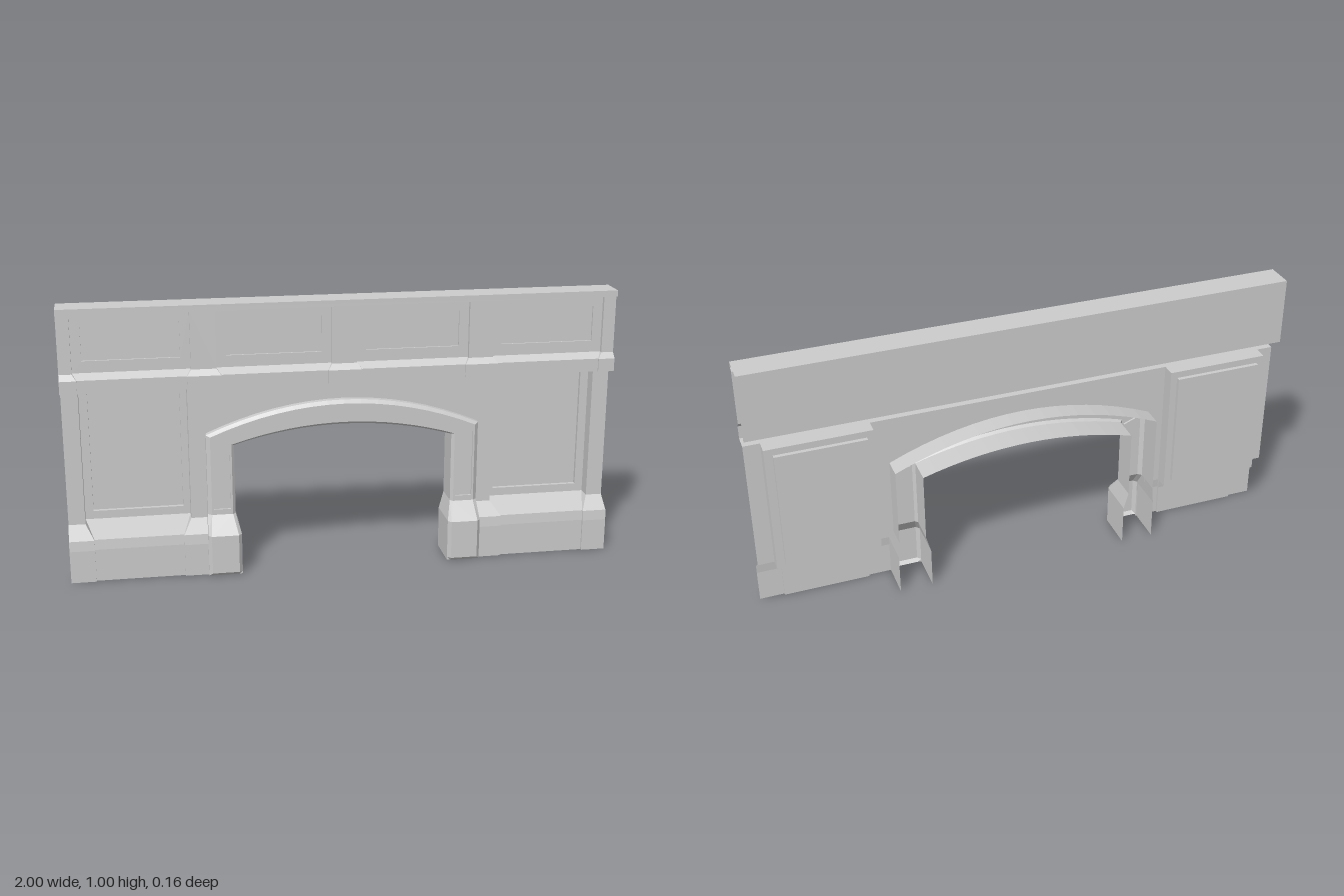
import * as THREE from 'three';

const material = new THREE.MeshStandardMaterial({
  color: 0xcccccc, flatShading: true, side: THREE.DoubleSide,
});

// Sheet through rows of [x, y, z] points (top to bottom, left to right).
function sheet(name, rows, side = 1, skip = () => false) {
  const pos = [];
  for (let i = 0; i < rows.length - 1; i++) {
    for (let j = 0; j < rows[i].length - 1; j++) {
      if (skip(i, j)) continue;
      const a = rows[i][j], b = rows[i][j + 1], c = rows[i + 1][j + 1], d = rows[i + 1][j];
      const tris = [a, d, c, a, c, b];
      if (side < 0) tris.reverse();
      for (const [x, y, z] of tris) pos.push(x * side, y, z);
    }
  }
  const geometry = new THREE.BufferGeometry();
  geometry.setAttribute('position', new THREE.Float32BufferAttribute(pos, 3));
  geometry.computeVertexNormals();
  const mesh = new THREE.Mesh(geometry, material);
  mesh.name = name;
  return mesh;
}

// Corners of a rectangle, clockwise from top left.
const rect = (x0, x1, y0, y1) => [[x0, y1], [x1, y1], [x1, y0], [x0, y0]];

// Flat frame with a sunken field; outer and inner are four [x, y] corners.
function sunkenPanel(name, outer, inner, z, depth, side = 1) {
  const ring = (pts, zz) => [...pts, pts[0]].map(([x, y]) => [x, y, zz]);
  const group = new THREE.Group();
  group.name = name;
  const [tl, tr, br, bl] = ring(inner, z - depth);
  group.add(
    sheet('panelFrame', [ring(outer, z), ring(inner, z), ring(inner, z - depth)], side),
    sheet('panelField', [[tl, tr], [bl, br]], side),
  );
  return group;
}

// Arch curves: half width, spring height and crown height.
const archInner = { w: 0.4, spring: 0.48, crown: 0.54 };
const archOuter = { w: 0.5, spring: 0.52, crown: 0.63 };
const archPoint = (c, u) => [c.w * u, c.spring + (c.crown - c.spring) * (1 - u * u)];
const mix = (a, b, t) => a + (b - a) * t;

// Cross-section of the surround: [fraction from opening to outer edge, z].
const surround = [[0, -0.08], [0, 0.02], [0.1, 0.03], [0.86, 0.03], [1, 0.018], [1, -0.08]];
const STEPS = 16;
const us = Array.from({ length: STEPS + 1 }, (_, i) => -1 + (2 * i) / STEPS);

function buildArch() {
  const rows = surround.map(([t, z]) => us.map((u) => {
    const p = archPoint(archInner, u), q = archPoint(archOuter, u);
    return [mix(p[0], q[0], t), mix(p[1], q[1], t), z];
  })).reverse();
  const spandrel = [
    us.map((u) => [archOuter.w * u, 0.7, -0.005]),
    us.map((u) => [...archPoint(archOuter, u), -0.005]),
  ];
  const group = new THREE.Group();
  group.name = 'arch';
  group.add(sheet('archSurround', rows), sheet('spandrelWall', spandrel));
  return group;
}

// Jamb and pier base on one side of the opening.
function buildJamb(side) {
  const group = new THREE.Group();
  group.name = side > 0 ? 'leftJamb' : 'rightJamb';
  const top = surround.map(([t, z]) => [mix(0.4, 0.5, t), mix(0.48, 0.52, t), z]);
  const foot = top.map(([x, , z]) => [x, 0.22, z]);
  group.add(sheet('jamb', [top, foot], side, (i, j) => j === 2));
  const outer = [top[2], top[3], foot[3], foot[2]].map(([x, y]) => [x, y]);
  const inner = [[0.417, 0.465], [0.479, 0.49], [0.479, 0.24], [0.417, 0.24]];
  group.add(sunkenPanel('jambPanel', outer, inner, 0.03, 0.007, side));

  const base = (y, front) => [
    [0.383, y, -0.08], [0.383, y, 0.067], [0.395, y, front],
    [0.493, y, front], [0.505, y, 0.067], [0.505, y, -0.08],
  ];
  group.add(sheet('pierBase', [foot, base(0.155, 0.081), base(0.012, 0.081), base(0, 0.069)], side));
  return group;
}

// Side wall with its pilasters, sunken bay and flared plinth.
function buildSideWall(side) {
  const group = new THREE.Group();
  group.name = side > 0 ? 'leftWall' : 'rightWall';
  const row = (y, x0, x1, pilaster, bay) => [
    [0.5, y, pilaster], [x0, y, pilaster], [x0, y, bay],
    [x1, y, bay], [x1, y, pilaster], [1, y, pilaster],
  ];
  const rows = [
    row(0.7, 0.56, 0.94, -0.005, -0.055),
    row(0.2, 0.56, 0.94, -0.005, -0.055),
    row(0.157, 0.59, 0.91, 0.053, 0.045),
    row(0.12, 0.59, 0.91, 0.057, 0.049),
    row(0, 0.59, 0.91, 0.057, 0.049),
  ];
  group.add(
    sheet('pilastersAndPlinth', rows, side, (i, j) => i === 0 && j === 2),
    sunkenPanel('wallPanel', rect(0.56, 0.94, 0.2, 0.7), rect(0.585, 0.91, 0.23, 0.675), -0.055, 0.015, side),
    sheet('bayTop', [
      [[0.56, 0.7, -0.005], [0.94, 0.7, -0.005]],
      [[0.56, 0.7, -0.055], [0.94, 0.7, -0.055]],
    ], side),
  );
  return group;
}

// Frieze of four panels between five short pilasters, over a sloped ledge.
function buildFrieze() {
  const group = new THREE.Group();
  group.name = 'frieze';
  const centres = [-1, -0.5, 0, 0.5, 1];
  const row = (y, half, pilaster, panel) => centres.flatMap((c) => [
    [c - half, y, panel], [c - half, y, pilaster], [c + half, y, pilaster], [c + half, y, panel],
  ]).slice(1, -1).map(([x, yy, z]) => [THREE.MathUtils.clamp(x, -1, 1), yy, z]);
  const rows = [
    row(0.977, 0.045, 0.031, 0.016),
    row(0.768, 0.045, 0.031, 0.016),
    row(0.748, 0.06, 0.05, 0.044),
    row(0.7, 0.06, 0.05, 0.044),
    row(0.7, 0.06, -0.005, -0.005),
  ];
  group.add(sheet('friezePilastersAndLedge', rows, 1, (i, j) => i === 0 && j % 4 === 2));
  for (let i = 0; i < 4; i++) {
    const x0 = centres[i] + 0.045, x1 = centres[i + 1] - 0.045;
    group.add(sunkenPanel('friezePanel', rect(x0, x1, 0.768, 0.977),
      rect(x0 + 0.035, x1 - 0.035, 0.81, 0.94), 0.016, 0.008));
  }
  return group;
}

// Top shelf with a front lip and a hanging back board.
function buildTop() {
  const profile = [[0.75, -0.06], [1, -0.06], [1, 0.045], [0.977, 0.045], [0.977, 0.016]];
  return sheet('topShelfAndBack', profile.map(([y, z]) => [[-1, y, z], [1, y, z]]));
}

export function createModel() {
  const model = new THREE.Group();
  model.name = 'fireplaceSurround';
  model.add(buildArch(), buildFrieze(), buildTop());
  for (const side of [1, -1]) model.add(buildJamb(side), buildSideWall(side));
  return model;
}
